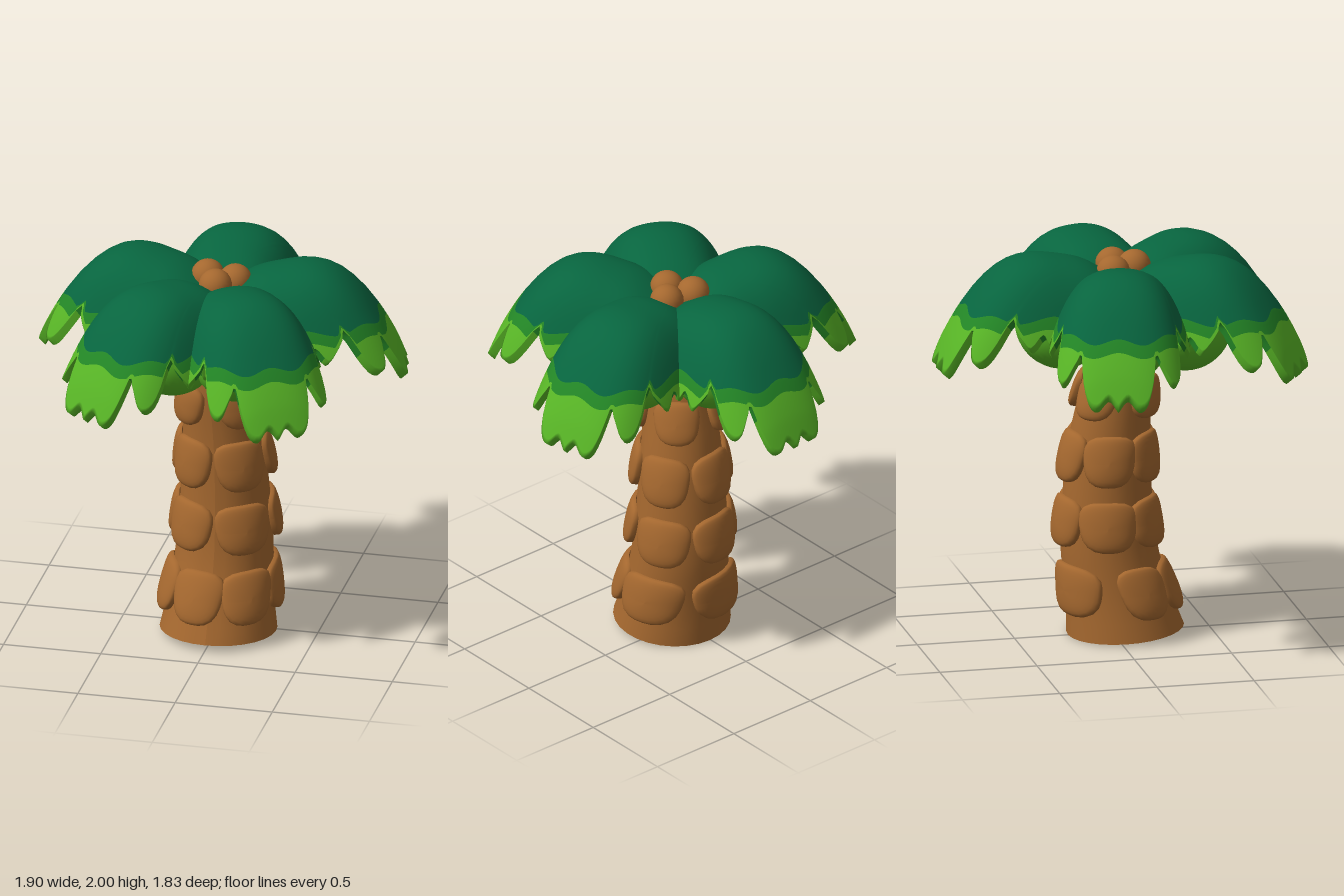
import * as THREE from 'three';

const mat = (name, color, side = THREE.FrontSide) => {
  const m = new THREE.MeshStandardMaterial({ color, side });
  m.name = name;
  return m;
};
const rad = THREE.MathUtils.degToRad;

// Smooth curve through [key, value...] rows, sampled by key
function sampler(rows) {
  return (k) => {
    let i = 0;
    while (i < rows.length - 2 && k > rows[i + 1][0]) i++;
    const at = (n) => rows[Math.min(Math.max(n, 0), rows.length - 1)];
    const [p, a, b, q] = [at(i - 1), at(i), at(i + 1), at(i + 2)];
    const span = b[0] - a[0];
    const t = THREE.MathUtils.clamp((k - a[0]) / span, 0, 1);
    return a.slice(1).map((v, c) => {
      const m0 = ((b[c + 1] - p[c + 1]) / (b[0] - p[0])) * span;
      const m1 = ((q[c + 1] - v) / (q[0] - a[0])) * span;
      const t2 = t * t, t3 = t2 * t;
      return (2 * t3 - 3 * t2 + 1) * v + (t3 - 2 * t2 + t) * m0 + (3 * t2 - 2 * t3) * b[c + 1] + (t3 - t2) * m1;
    });
  };
}

// Trunk: height -> radius, centre x, centre z
const trunkAt = sampler([
  [0, 0.295, 0.005, 0.07], [0.2, 0.265, 0.01, 0.035], [0.5, 0.24, 0.02, -0.015],
  [1.0, 0.205, 0.012, -0.01], [1.4, 0.168, -0.01, 0.035], [1.8, 0.13, 0, 0.05],
]);
// Frond ridge: distance from crown -> height
const ridgeAt = sampler([
  [0, 1.83], [0.1, 1.9], [0.2, 1.955], [0.32, 1.985], [0.45, 2.0], [0.57, 1.975],
  [0.68, 1.9], [0.79, 1.77], [0.89, 1.6], [0.96, 1.43],
]);
// Frond outline: angle from the ridge (degrees) -> reach, giving the rounded lobes
const reachAt = sampler([
  [0, 0.955], [3, 0.935], [6.5, 0.955], [9.5, 0.94], [11.5, 0.895], [13, 0.83], [14.5, 0.845],
  [18, 0.875], [21, 0.845], [23, 0.785], [24.5, 0.69], [26.5, 0.69], [30, 0.675], [33, 0.65],
  [35, 0.59], [38, 0.575], [40, 0.55],
]);

function remap(geo, rule) {
  const p = geo.attributes.position, v = new THREE.Vector3();
  for (let i = 0; i < p.count; i++) {
    rule(v.fromBufferAttribute(p, i));
    p.setXYZ(i, v.x, v.y, v.z);
  }
  geo.computeVertexNormals();
  return geo;
}

function trunkGeometry() {
  const geo = new THREE.CylinderGeometry(1, 1, 1, 28, 18, true);
  return remap(geo, (v) => {
    const y = (v.y + 0.5) * 1.78;
    const [r, cx, cz] = trunkAt(y);
    const z = cz + v.z * r;
    // the foot is cut at a slight slant
    v.set(cx + v.x * r, y + 0.065 * (z + 0.225) * Math.max(0, 1 - y / 0.3), z);
  });
}

// One bark scale: a rounded pad wrapped on the trunk, leaning out at its foot
function scaleGeometry(angle, halfWidth, top, bottom) {
  const geo = new THREE.SphereGeometry(1, 24, 16).rotateX(Math.PI / 2);
  const mid = (top + bottom) / 2, halfH = (top - bottom) / 2;
  return remap(geo, (v) => {
    const flat = Math.hypot(v.x, v.y);
    const n = Math.pow(Math.abs(v.x) ** 3 + Math.abs(v.y) ** 3, 1 / 3);
    const k = n > 1e-6 ? flat / n : 1;
    const sx = v.x * k, sy = v.y * k;
    const y = mid + sy * halfH;
    const [r, cx, cz] = trunkAt(y);
    const a = angle + (sx * halfWidth * (1 + 0.14 * sy)) / r;
    const out = r + 0.004 + (v.z > 0 ? (0.048 - 0.012 * sy) * Math.sqrt(v.z) : 0);
    v.set(cx + Math.sin(a) * out, y, cz + Math.cos(a) * out);
  });
}

// One frond: a drooping fan with an upper and a lower skin, its rows following the colour bands
function frondGeometry() {
  const NA = 100, HALF = 40, ROWS = [14, 18, 30], NR = 30;
  const heightAt = (a, d) => {
    const x = d * Math.sin(a);
    return ridgeAt(d * Math.cos(a))[0] - 1.2 * x * x - 14 * x ** 4;
  };
  // distance along a ray where the frond falls to height y
  const crossing = (a, reach, y) => {
    let lo = 0.35, hi = reach;
    for (let n = 0; n < 24; n++) {
      const m = (lo + hi) / 2;
      if (heightAt(a, m) > y) lo = m; else hi = m;
    }
    return lo;
  };
  const pos = [], bands = [[], [], []];
  for (let skin = 0; skin < 2; skin++)
    for (let i = 0; i <= NA; i++) {
      const deg = -HALF + (2 * HALF * i) / NA, a = rad(deg);
      const reach = reachAt(Math.abs(deg))[0];
      const edge = 1.745 + 0.015 * Math.cos(a * 20) - skin * 0.1;
      const d1 = Math.min(crossing(a, reach, edge), reach * 0.97);
      const d2 = Math.max(Math.min(crossing(a, reach, edge - 0.06), reach * 0.985), d1 + 0.005);
      const stops = [0.03, d1, d2, reach];
      for (let j = 0; j <= NR; j++) {
        const b = ROWS.findIndex((r) => j <= r), from = b ? ROWS[b - 1] : 0;
        const d = THREE.MathUtils.lerp(stops[b], stops[b + 1], (j - from) / (ROWS[b] - from));
        const s = skin ? 0.965 : 1;
        pos.push(d * Math.sin(a) * s, heightAt(a, d) - skin * 0.03, d * Math.cos(a) * s);
      }
    }
  const layer = (NA + 1) * (NR + 1);
  const id = (skin, i, j) => skin * layer + i * (NR + 1) + j;
  const quad = (band, a, b, c, d) => bands[band].push(a, b, c, b, d, c);
  for (let i = 0; i < NA; i++) {
    for (let j = 0; j < NR; j++) {
      const band = ROWS.findIndex((r) => j < r);
      quad(band, id(0, i, j), id(0, i, j + 1), id(0, i + 1, j), id(0, i + 1, j + 1));
      quad(band, id(1, i, j), id(1, i + 1, j), id(1, i, j + 1), id(1, i + 1, j + 1));
    }
    // rim
    const y = pos[id(0, i, NR) * 3 + 1];
    quad(y > 1.66 ? 1 : 2, id(0, i, NR), id(1, i, NR), id(0, i + 1, NR), id(1, i + 1, NR));
  }
  // straight sides
  for (let j = 0; j < NR; j++) {
    const band = ROWS.findIndex((r) => j < r);
    quad(band, id(0, 0, j), id(1, 0, j), id(0, 0, j + 1), id(1, 0, j + 1));
    quad(band, id(0, NA, j), id(0, NA, j + 1), id(1, NA, j), id(1, NA, j + 1));
  }
  const geo = new THREE.BufferGeometry();
  geo.setAttribute('position', new THREE.Float32BufferAttribute(pos, 3));
  geo.setIndex(bands.flat());
  let start = 0;
  bands.forEach((b, m) => { geo.addGroup(start, b.length, m); start += b.length; });
  geo.computeVertexNormals();
  return geo;
}

export function createModel() {
  const model = new THREE.Group();
  model.name = 'palmTree';
  const bark = mat('bark brown', 0xa5682f, THREE.DoubleSide);
  const dark = mat('deep green', 0x08653f);
  const mid = mat('mid green', 0x238626);
  const light = mat('bright green', 0x58b526);
  const add = (name, geo, material, parent = model) => {
    const m = new THREE.Mesh(geo, material);
    m.name = name;
    parent.add(m);
    return m;
  };

  add('trunk', trunkGeometry(), bark);

  // Bark scales: top, bottom, then [angle, half width] for each
  const ring = (angles, w) => angles.map((a) => [a, w]);
  const five = [-38, 36, 116, 190, 258];
  const rows = [
    [0.39, 0.13, [[-70, 0.125], [-15, 0.13], [42, 0.135], [108, 0.175], [200, 0.19]]],
    [0.735, 0.48, ring(five, 0.14)],
    [1.075, 0.815, ring(five, 0.125)],
    [1.37, 1.155, ring([-45, 45, 135, 225], 0.108)],
  ];
  const scales = new THREE.Group();
  scales.name = 'barkScales';
  model.add(scales);
  for (const [top, bottom, list] of rows)
    for (const [a, w] of list) add('barkScale', scaleGeometry(rad(a), w, top, bottom), bark, scales);

  // Crown of five fronds, each with a two-tone green fruit tucked beneath it
  const frond = frondGeometry();
  const split = Math.PI * 0.43;
  const fruitTop = new THREE.SphereGeometry(0.238, 32, 12, 0, Math.PI * 2, 0, split);
  const fruitBase = new THREE.SphereGeometry(0.238, 32, 14, 0, Math.PI * 2, split, Math.PI - split);
  for (const deg of [32, 104, 180, -104, -32]) {
    const a = rad(deg);
    const f = add('frond', frond, [dark, mid, light]);
    f.position.z = 0.05;
    f.rotation.y = a;
    const fruit = new THREE.Group();
    fruit.name = 'greenFruit';
    fruit.position.set(0.32 * Math.sin(a), 1.64, 0.065 + 0.32 * Math.cos(a));
    fruit.rotation.set(-0.4, a, 0, 'YXZ');
    add('fruitTop', fruitTop, mid, fruit);
    add('fruitBase', fruitBase, light, fruit);
    model.add(fruit);
  }

  // Three coconuts on top
  const nut = new THREE.SphereGeometry(0.085, 20, 14);
  for (const [x, y, z] of [[-0.068, 1.9, -0.008], [0.08, 1.9, 0.02], [0, 1.905, 0.115]])
    add('coconut', nut, bark).position.set(x, y, z);

  return model;
}
